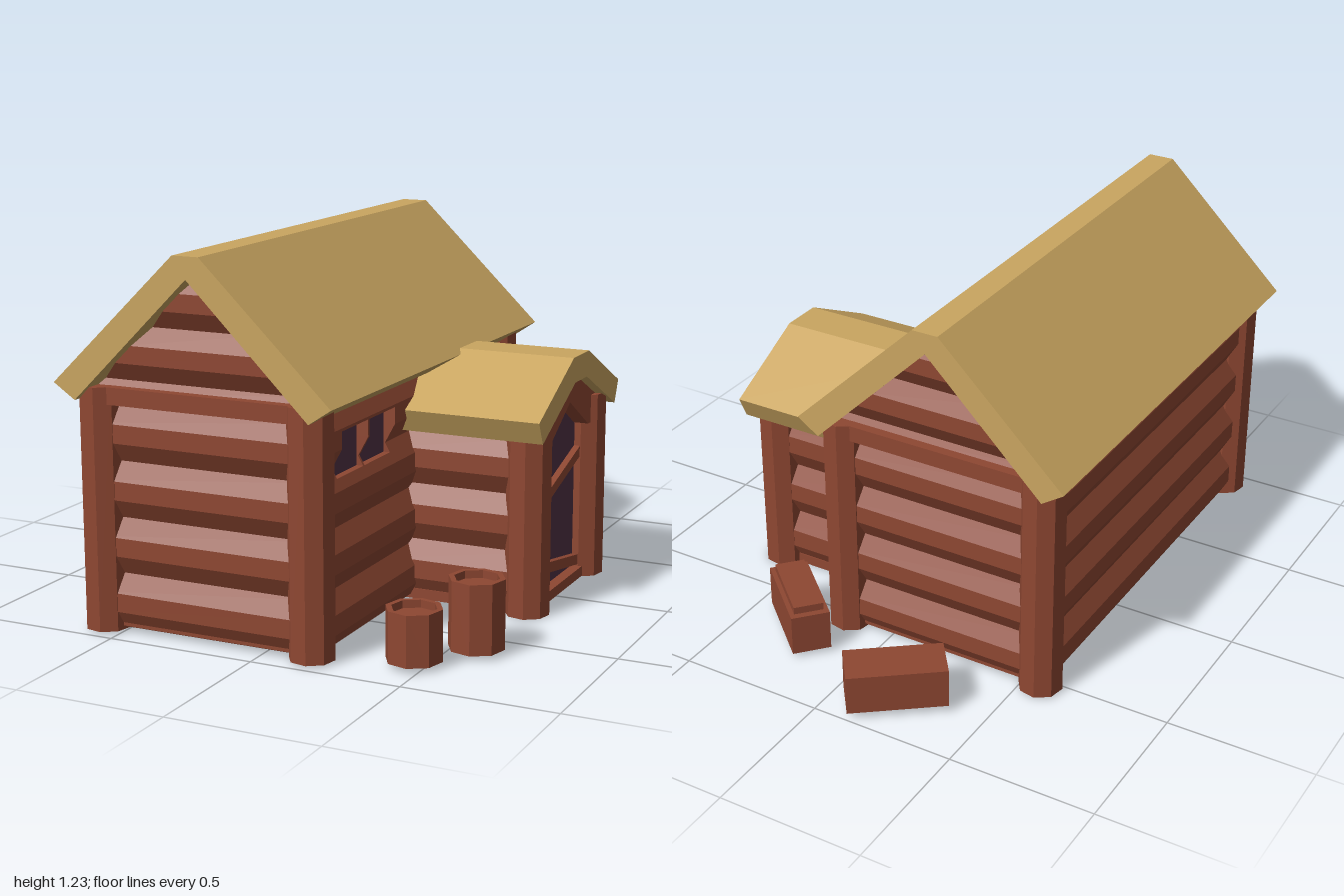
import * as THREE from 'three';

const paint = (name, color) => {
  const m = new THREE.MeshStandardMaterial({ color, flatShading: true });
  m.name = name;
  return m;
};

export function createModel() {
  const model = new THREE.Group();
  model.name = 'logCabin';
  const wood = paint('red brown wood', 0x8e4732);
  const straw = paint('straw', 0xc9a560);
  const dark = paint('dark purple', 0x503144);
  const R = Math.PI / 2;

  function add(name, geometry, material, x = 0, y = 0, z = 0, turn = 0) {
    const mesh = new THREE.Mesh(geometry, material);
    mesh.name = name;
    mesh.position.set(x, y, z);
    mesh.rotation.y = turn;
    model.add(mesh);
    return mesh;
  }
  const box = (name, w, h, d, x, y, z, turn = 0, material = wood) =>
    add(name, new THREE.BoxGeometry(w, h, d), material, x, y, z, turn);

  // Wall of stacked faceted logs; left(y) and right(y) give its ends, plane its distance from the origin
  function logWall(name, turn, plane, left, right, y0, y1, period, offset) {
    const levels = [y0];
    for (let k = 0; k < 30; k++) {
      const y = offset + (period * k) / 3;
      if (y > y0 + 0.002 && y < y1 - 0.002) levels.push(y);
    }
    levels.push(y1);
    const rows = levels.map((y) => {
      const t = (((y - offset) / period + 1e-6) % 1 + 1) % 1;
      const front = plane - 0.035 * Math.max(0, (Math.abs(t - 0.5) - 1 / 6) * 3);
      const back = plane - 0.07, l = left(y), r = right(y);
      return [[l, y, front], [r, y, front], [r, y, back], [l, y, back]];
    });
    const pos = [];
    const quad = (a, b, c, d) => pos.push(...a, ...b, ...c, ...a, ...c, ...d);
    for (let i = 0; i + 1 < rows.length; i++) {
      for (let j = 0; j < 4; j++) {
        const k = (j + 1) % 4;
        quad(rows[i][j], rows[i][k], rows[i + 1][k], rows[i + 1][j]);
      }
    }
    quad(...rows[rows.length - 1]);
    quad(...[...rows[0]].reverse());
    const g = new THREE.BufferGeometry();
    g.setAttribute('position', new THREE.Float32BufferAttribute(pos, 3));
    g.computeVertexNormals();
    add(name, g, wood, 0, 0, 0, turn);
  }
  const flatWall = (name, turn, plane, l, r, y0, y1, period, offset) =>
    logWall(name, turn, plane, () => l, () => r, y0, y1, period, offset);

  // Outline extruded along local z
  function extrude(name, points, depth, material, x, y, z, turn = 0) {
    const shape = new THREE.Shape(points.map((p) => new THREE.Vector2(p[0], p[1])));
    const g = new THREE.ExtrudeGeometry(shape, { depth, bevelEnabled: false });
    return add(name, g, material, x, y, z, turn);
  }
  // Completes a symmetric outline from its right half
  const mirrored = (half) => [...half, ...[...half].reverse().map(([x, y]) => [-x, y])];

  // Front and back walls with gables
  for (const [side, turn, plane, cx] of [['front', 0, 0.95, -0.2], ['back', Math.PI, 0.575, 0.2]]) {
    flatWall(side + 'Wall', turn, plane, cx - 0.365, cx + 0.365, 0.02, 0.78, 0.182, 0.015);
    const half = (y) => (1.175 - y) * 1.01;
    logWall(side + 'Gable', turn, plane, (y) => cx - half(y), (y) => cx + half(y), 0.78, 1.172, 0.172, 0.82 - 0.172);
    const s = side === 'front' ? 1 : -1;
    box(side + 'Beam', 0.655, 0.055, 0.06, -0.2, 0.773, s * (plane - 0.02));
  }

  // Long walls; the one beside the porch has two window openings
  flatWall('rightWall', -R, 0.605, -0.535, 0.91, 0.02, 0.8, 0.192, 0);
  flatWall('leftWallLower', R, 0.205, -0.91, 0.535, 0.02, 0.545, 0.192, 0);
  flatWall('leftWallTop', R, 0.205, -0.91, 0.535, 0.695, 0.8, 0.192, 0);
  for (const [a, b] of [[-0.91, -0.78], [-0.6, -0.59], [-0.405, 0.535]])
    flatWall('leftWallUpper', R, 0.205, a, b, 0.545, 0.695, 0.192, 0);
  for (const z of [0.69, 0.4975]) box('window', 0.008, 0.15, 0.186, 0.16, 0.62, z, 0, dark);

  // Corner posts and floor
  const post = (name, x, z, y0, y1) =>
    add(name, new THREE.CylinderGeometry(0.074, 0.074, y1 - y0, 8), wood, x, (y0 + y1) / 2, z, 0.2);
  for (const x of [-0.565, 0.165]) for (const z of [0.911, -0.537]) post('cornerPost', x, z, 0.012, 0.8);
  box('floor', 0.76, 0.03, 1.48, -0.2, 0.04, 0.187);

  // Main roof
  const mainRoof = [[0.405, 0.76], [0.48, 0.81], [0.045, 1.23]];
  extrude('mainRoof', [...mirrored(mainRoof), [0, 1.16]], 1.63, straw, -0.2, 0, -0.63);

  // Porch walls, posts and floor
  flatWall('porchFrontWall', 0, 0.25, 0.15, 0.59, 0.02, 0.63, 0.19, 0.02);
  flatWall('porchBackWall', Math.PI, 0.35, -0.59, -0.15, 0.02, 0.63, 0.19, 0.02);
  for (const z of [0.208, -0.31]) post('porchPost', 0.588, z, 0.004, 0.645);
  box('porchFloor', 0.46, 0.035, 0.56, 0.385, 0.024, -0.05);

  // Porch roof, a bent slab
  const porchRoof = mirrored([[0.055, 0.74], [0.345, 0.595], [0.38, 0.67], [0.073, 0.825]]);
  const bent = [...porchRoof.slice(0, 4), ...porchRoof.slice(4)];
  extrude('porchRoof', bent, 0.567, straw, 0.1, 0, -0.05, R);

  // Doorway: arch, door panel and braces
  extrude('doorArch', [[-0.183, 0.55], [0, 0.66], [0.183, 0.55], [0.27, 0.55], [0.27, 0.64],
    [0.06, 0.76], [-0.06, 0.76], [-0.27, 0.64], [-0.27, 0.55]], 0.07, wood, 0.56, 0, -0.05, R);
  extrude('door', [[-0.2, 0.02], [0.2, 0.02], [0.2, 0.55], [0, 0.68], [-0.2, 0.55]],
    0.008, dark, 0.57, 0, -0.05, R);
  for (const [y0, y1] of [[0.335, 0.45], [0.13, 0.065]]) {
    extrude('doorBrace', [[-0.19, y0 - 0.018], [0.19, y1 - 0.018], [0.19, y1 + 0.018], [-0.19, y0 + 0.018]],
      0.025, wood, 0.575, 0, -0.05, R);
  }

  // Open-topped barrels
  for (const [x, z, h] of [[0.588, 0.632, 0.225], [0.46, 0.812, 0.165]]) {
    const r = 0.09;
    const profile = [[0, 0], [r, 0], [r, h], [r * 0.8, h], [r * 0.8, h - 0.025], [0, h - 0.025]];
    const g = new THREE.LatheGeometry(profile.map((p) => new THREE.Vector2(...p)), 8);
    add('barrel', g, wood, x, 0.022, z, 0.15);
  }

  // Crates behind the cabin
  box('longCrate', 0.325, 0.135, 0.153, -0.205, 0.0975, -0.84, 0.655);
  box('lidCrate', 0.315, 0.14, 0.13, 0.287, 0.09, -0.66, -0.73);
  box('crateLid', 0.27, 0.025, 0.1, 0.287, 0.1725, -0.66, -0.73);

  return model;
}
